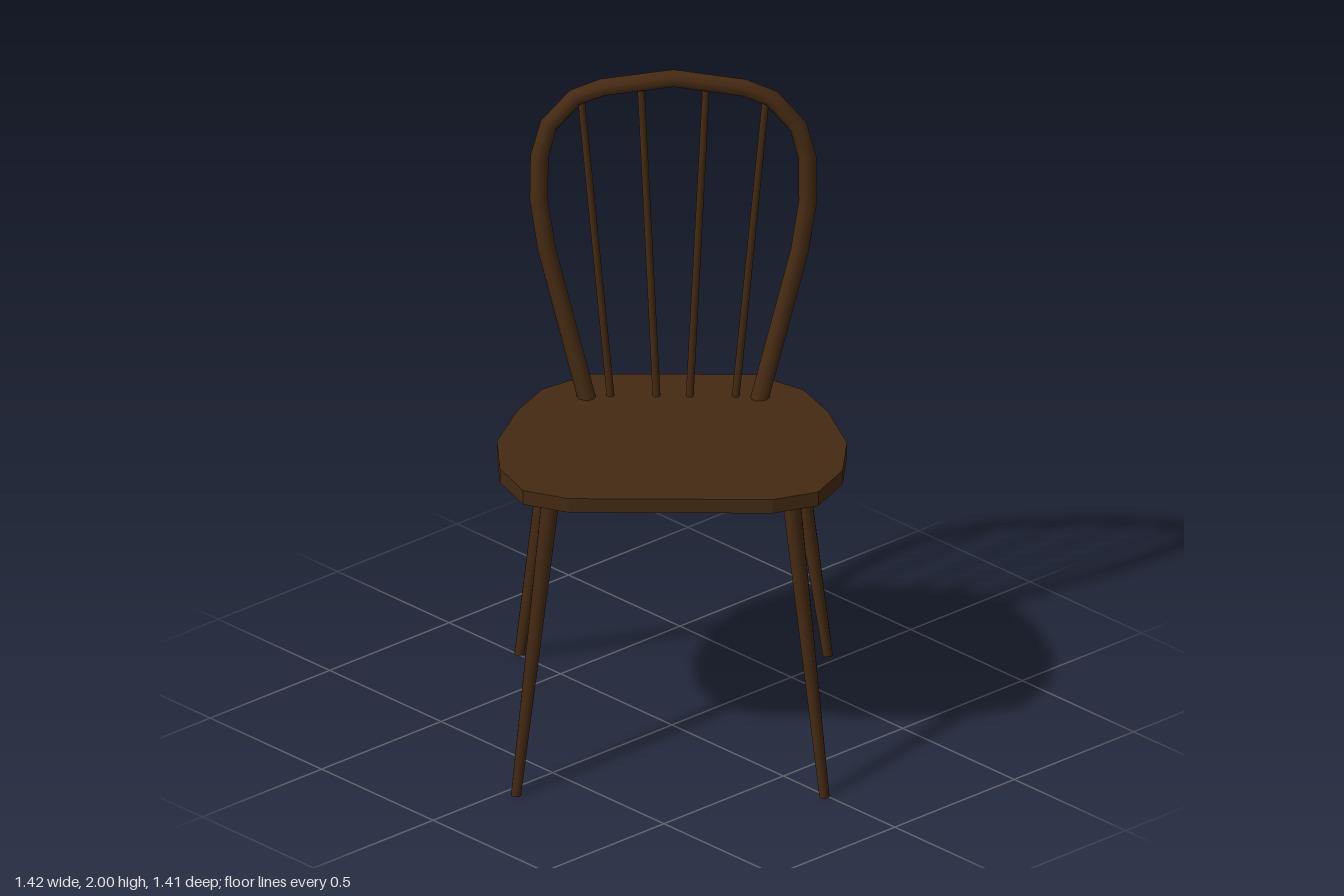
import * as THREE from 'three';

const wood = new THREE.MeshStandardMaterial({ color: 0x452a13 });

// Depth of the leaning back plane at a given height
const backZ = (y) => -0.342 - 0.117 * (y - 0.95);

// Tapered rod between two points, with level ends
function rod(name, bottom, top, rBottom, rTop, sides) {
  const height = top[1] - bottom[1];
  const geo = new THREE.CylinderGeometry(rTop, rBottom, height, sides);
  const pos = geo.attributes.position;
  for (let i = 0; i < pos.count; i++) {
    const t = pos.getY(i) / height + 0.5;
    pos.setXYZ(i,
      pos.getX(i) + THREE.MathUtils.lerp(bottom[0], top[0], t),
      THREE.MathUtils.lerp(bottom[1], top[1], t),
      pos.getZ(i) + THREE.MathUtils.lerp(bottom[2], top[2], t));
  }
  const mesh = new THREE.Mesh(geo, wood);
  mesh.name = name;
  return mesh;
}

// Round bar swept along a list of points lying in one plane
function sweep(points, radius, sides, planeNormal) {
  const verts = [], index = [];
  points.forEach((p, i) => {
    const before = points[Math.max(i - 1, 0)];
    const after = points[Math.min(i + 1, points.length - 1)];
    const tangent = after.clone().sub(before).normalize();
    const across = new THREE.Vector3().crossVectors(planeNormal, tangent).normalize();
    for (let j = 0; j < sides; j++) {
      const a = (j / sides) * Math.PI * 2;
      const v = p.clone()
        .addScaledVector(across, Math.cos(a) * radius)
        .addScaledVector(planeNormal, Math.sin(a) * radius);
      verts.push(v.x, v.y, v.z);
      if (i > 0) {
        const k = (j + 1) % sides, n = i * sides, m = n - sides;
        index.push(m + j, m + k, n + j, m + k, n + k, n + j);
      }
    }
  });
  const geo = new THREE.BufferGeometry();
  geo.setAttribute('position', new THREE.Float32BufferAttribute(verts, 3));
  geo.setIndex(index);
  geo.computeVertexNormals();
  return geo;
}

export function createModel() {
  const chair = new THREE.Group();
  chair.name = 'chair';

  // Seat: mirrored half outline, extruded as a flat board
  const half = [[0.25, -0.505], [0.4, -0.395], [0.476, -0.239], [0.536, -0.02],
    [0.525, 0.177], [0.452, 0.333], [0.312, 0.389]];
  const outline = [...half, ...half.map(([x, z]) => [-x, z]).reverse()];
  const shape = new THREE.Shape(outline.map(([x, z]) => new THREE.Vector2(x, -z)));
  const seatGeo = new THREE.ExtrudeGeometry(shape, { depth: 0.047, bevelEnabled: false });
  seatGeo.rotateX(-Math.PI / 2).translate(0, 0.902, 0);
  const seat = new THREE.Mesh(seatGeo, wood);
  seat.name = 'seat';
  chair.add(seat);

  // Splayed, tapered legs
  for (const [side, sx] of [['Left', 1], ['Right', -1]]) {
    chair.add(rod('front' + side + 'Leg', [sx * 0.472, 0, 0.506], [sx * 0.366, 0.91, 0.255], 0.016, 0.029, 10));
    chair.add(rod('back' + side + 'Leg', [sx * 0.472, 0, -0.506], [sx * 0.366, 0.91, -0.275], 0.016, 0.029, 10));
  }

  // Bent hoop of the back
  const hoopHalf = [[0.258, 0.92], [0.387, 1.42], [0.412, 1.58], [0.41, 1.72],
    [0.382, 1.82], [0.3, 1.91], [0.217, 1.942]];
  const path = [...hoopHalf, [0, 1.972], ...hoopHalf.map(([x, y]) => [-x, y]).reverse()]
    .map(([x, y]) => new THREE.Vector3(x, y, backZ(y)));
  const normal = new THREE.Vector3(0, 0.117, 1).normalize();
  const hoop = new THREE.Mesh(sweep(path, 0.028, 10, normal), wood);
  hoop.name = 'backHoop';
  chair.add(hoop);

  // Fanned spindles inside the hoop
  for (const sx of [-1, 1]) {
    for (const [x0, x1, y1] of [[0.19, 0.283, 1.91], [0.05, 0.1, 1.95]]) {
      chair.add(rod('spindle', [sx * x0, 0.93, -0.35], [sx * x1, y1, backZ(y1)], 0.012, 0.011, 8));
    }
  }

  // The chair stands turned toward its corner
  chair.rotation.y = THREE.MathUtils.degToRad(46.4);
  const model = new THREE.Group();
  model.name = 'spindleBackChair';
  model.add(chair);
  return model;
}
